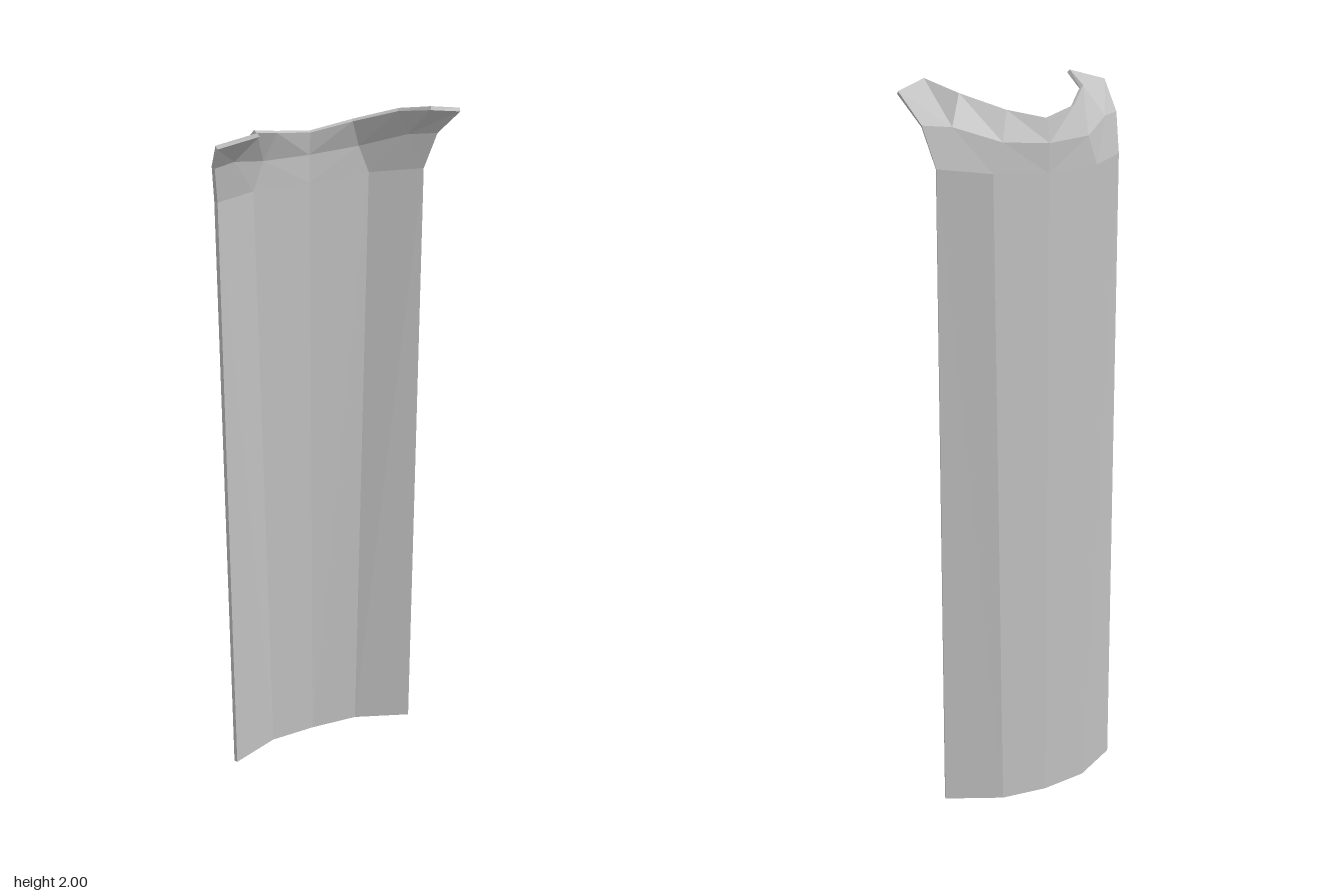
import * as THREE from 'three';

const THICKNESS = 0.011;

// Cross-sections of one half (+x), from hem to rim
const P = {
  A0: [0, 0, -0.11], A1: [0.14, 0.004, -0.098], A2: [0.288, 0.015, -0.028],
  B0: [0, 1.755, -0.117], B1: [0.17, 1.765, -0.104], B2: [0.3, 1.78, -0.034],
  C0: [0, 1.835, -0.12], C1: [0.14, 1.845, -0.105], C2: [0.25, 1.885, -0.035], C3: [0.319, 1.89, 0.003],
  D0: [0, 1.9, -0.109], D1: [0.11, 1.925, -0.08], D2: [0.203, 1.967, 0.003],
  D3: [0.24, 2, 0.112], D4: [0.339, 1.973, 0.083],
};
const PANEL = ['A0 A1 B1 B0', 'A1 A2 B2 B1'];
const COLLAR = ['B0 B1 C1 C0', 'B1 B2 C2 C1', 'B2 C3 C2', 'C0 C1 D1 D0',
  'C1 C2 D2 D1', 'C2 C3 D4', 'C2 D4 D3 D2'];
const BORDER = 'A0 A1 A2 B2 C3 D4 D3 D2 D1 D0'.split(' ');

// Fan each polygon into triangles
function triangles(faces) {
  const out = [];
  for (const face of faces) {
    const k = face.split(' ');
    for (let i = 1; i < k.length - 1; i++) out.push([k[0], k[i], k[i + 1]]);
  }
  return out;
}

// Outer and inner skins, set apart along averaged normals
function makeSkins() {
  const outer = {}, inner = {}, normals = {};
  for (const k in P) {
    outer[k] = new THREE.Vector3(...P[k]);
    normals[k] = new THREE.Vector3();
  }
  for (const t of triangles([...PANEL, ...COLLAR])) {
    const [a, b, c] = t.map((k) => outer[k]);
    const n = b.clone().sub(a).cross(c.clone().sub(a)).normalize();
    t.forEach((k) => normals[k].add(n));
  }
  for (const k in P) {
    if (P[k][0] === 0) normals[k].x = 0;
    inner[k] = outer[k].clone().addScaledVector(normals[k].normalize(), THICKNESS);
    inner[k].y = Math.max(inner[k].y, 0);
  }
  return { outer, inner };
}

// Mirror the triangles across x and make one mesh
function mirroredMesh(name, tris, material) {
  const pos = [];
  for (const [a, b, c] of tris) {
    for (const v of [a, b, c]) pos.push(v.x, v.y, v.z);
    for (const v of [a, c, b]) pos.push(-v.x, v.y, v.z);
  }
  const geometry = new THREE.BufferGeometry();
  geometry.setAttribute('position', new THREE.Float32BufferAttribute(pos, 3));
  geometry.computeVertexNormals();
  const mesh = new THREE.Mesh(geometry, material);
  mesh.name = name;
  return mesh;
}

export function createModel() {
  const group = new THREE.Group();
  group.name = 'cape';
  const grey = new THREE.MeshStandardMaterial({ color: 0xc0c0c0 });
  grey.name = 'light grey';
  grey.flatShading = true;

  const { outer, inner } = makeSkins();
  const shell = (faces) => triangles(faces).flatMap(([a, b, c]) => [
    [inner[a], inner[b], inner[c]],
    [outer[a], outer[c], outer[b]],
  ]);

  // Long hanging panel and flared collar
  group.add(mirroredMesh('backPanel', shell(PANEL), grey));
  group.add(mirroredMesh('collar', shell(COLLAR), grey));

  // Narrow edge closing the gap between the skins
  const edge = [];
  for (let i = 0; i < BORDER.length - 1; i++) {
    const p = BORDER[i], q = BORDER[i + 1];
    edge.push([outer[p], outer[q], inner[q]], [outer[p], inner[q], inner[p]]);
  }
  group.add(mirroredMesh('edge', edge, grey));
  return group;
}
